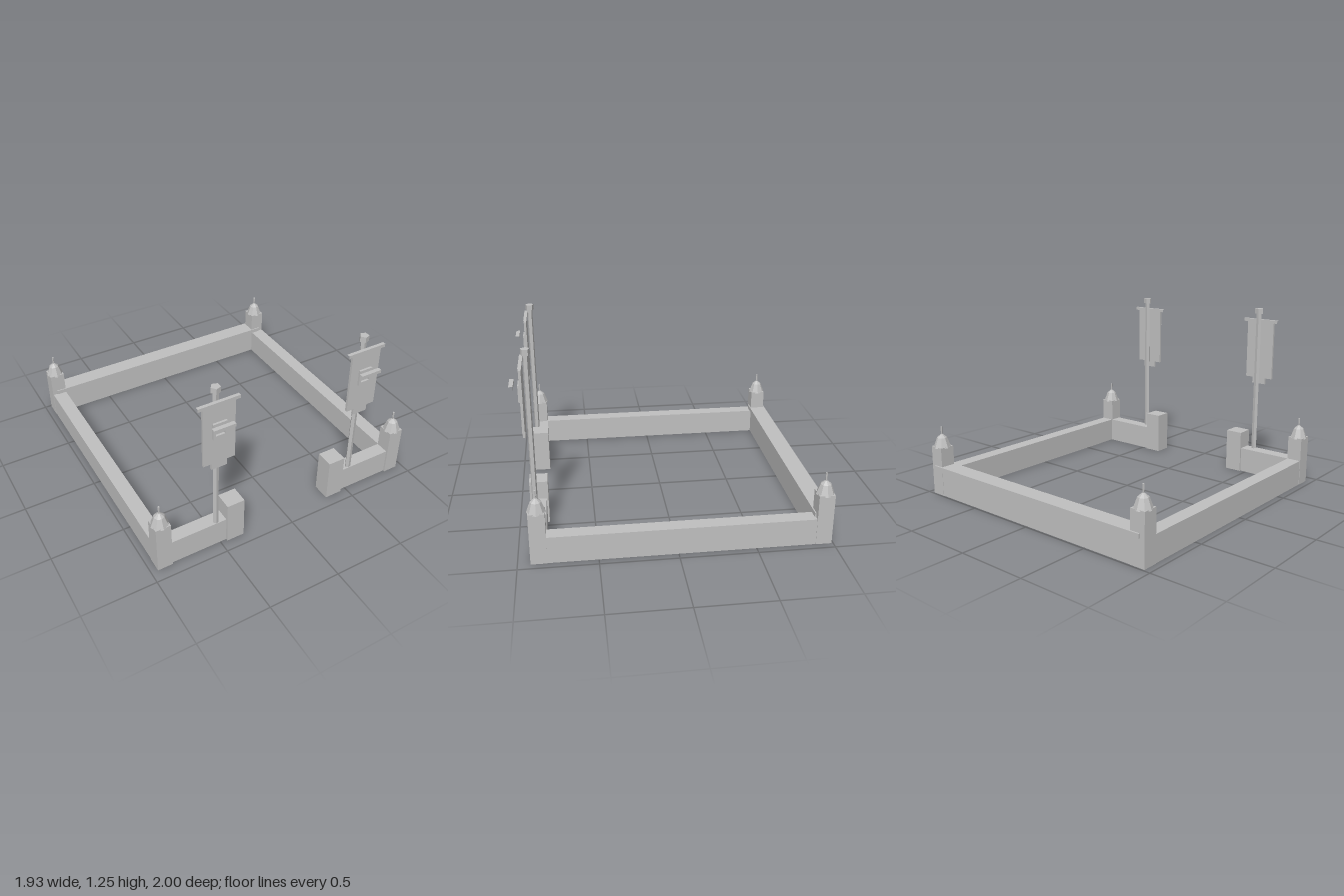
import * as THREE from 'three';

const stone = new THREE.MeshStandardMaterial({ color: 0xc0c0c0, flatShading: true });
stone.name = 'stone grey';

function add(parent, name, geometry) {
  const mesh = new THREE.Mesh(geometry, stone);
  mesh.name = name;
  parent.add(mesh);
  return mesh;
}

// Box given by its limits on each axis; openEnds drops the two x faces
function block(parent, name, [x0, x1], [y0, y1], [z0, z1], openEnds = false) {
  const g = new THREE.BoxGeometry(x1 - x0, y1 - y0, z1 - z0);
  if (openEnds) g.setIndex(Array.from(g.index.array).slice(12));
  g.translate((x0 + x1) / 2, (y0 + y1) / 2, (z0 + z1) / 2);
  return add(parent, name, g);
}

// Upright prism between two heights
function prism(parent, name, rTop, rBottom, y0, y1, sides, z = 0) {
  const g = new THREE.CylinderGeometry(rTop, rBottom, y1 - y0, sides);
  g.rotateY(-Math.PI / 2);
  g.translate(0, (y0 + y1) / 2, z);
  return add(parent, name, g);
}

// Square corner post with an eight-sided cap and a finial
function cornerPost(x, z) {
  const post = new THREE.Group();
  post.name = 'cornerPost';
  block(post, 'postShaft', [-0.052, 0.052], [0, 0.345], [-0.052, 0.052]);
  prism(post, 'postCap', 0.035, 0.061, 0.337, 0.407, 8);
  prism(post, 'capPeak', 0.008, 0.035, 0.407, 0.43, 8);
  prism(post, 'finial', 0.007, 0.005, 0.425, 0.483, 6);
  post.position.set(x, 0, z);
  return post;
}

// Pole with a hanging banner, crossbar and badge
function bannerStand(x) {
  const stand = new THREE.Group();
  stand.name = 'bannerStand';
  prism(stand, 'pole', 0.019, 0.019, 0.02, 1.215, 5, 0.889);
  prism(stand, 'poleCap', 0.031, 0.031, 1.21, 1.248, 5, 0.889);
  block(stand, 'crossbar', [-0.139, 0.139], [1.143, 1.165], [0.912, 0.934], true);

  // Cloth with a narrower tongue at the bottom
  const cloth = new THREE.Shape([
    [-0.108, 1.145], [-0.108, 0.725], [-0.053, 0.725], [-0.053, 0.68],
    [0.053, 0.68], [0.053, 0.725], [0.108, 0.725], [0.108, 1.145],
  ].map(([a, b]) => new THREE.Vector2(a, b)));
  add(stand, 'bannerCloth', new THREE.ExtrudeGeometry(cloth, { depth: 0.016, bevelEnabled: false }))
    .position.z = 0.917;

  // Square badge frame with a bar in front of its top edge
  const rect = (w, y0, y1) => [[-w, y0], [w, y0], [w, y1], [-w, y1]]
    .map(([a, b]) => new THREE.Vector2(a, b));
  const frame = new THREE.Shape(rect(0.047, 0.915, 1.027));
  frame.holes.push(new THREE.Path(rect(0.031, 0.938, 1.004)));
  add(stand, 'badgeFrame', new THREE.ExtrudeGeometry(frame, { depth: 0.014, bevelEnabled: false }))
    .position.z = 0.933;
  block(stand, 'badgeBar', [-0.073, 0.073], [1.009, 1.031], [0.973, 1.0], true);
  stand.position.x = x;
  return stand;
}

export function createModel() {
  const model = new THREE.Group();
  model.name = 'walledYard';

  // Rear wall with its overhanging coping
  block(model, 'backWall', [-0.9, 0.9], [0, 0.18], [-0.987, -0.885]);
  block(model, 'backCoping', [-0.92, 0.92], [0.18, 0.21], [-1.0, -0.877]);

  for (const s of [-1, 1]) {
    const span = (a, b) => (s > 0 ? [a, b] : [-b, -a]);
    block(model, 'sideWall', span(0.853, 0.951), [0, 0.18], [-0.94, 0.868]);
    block(model, 'frontWall', span(0.44, 0.9), [0, 0.18], [0.815, 0.908]);
    block(model, 'gatePost', span(0.333, 0.456), [0, 0.304], [0.803, 0.924]);
    model.add(cornerPost(s * 0.902, 0.868), cornerPost(s * 0.902, -0.937));
    model.add(bannerStand(s * 0.523));
  }
  return model;
}
